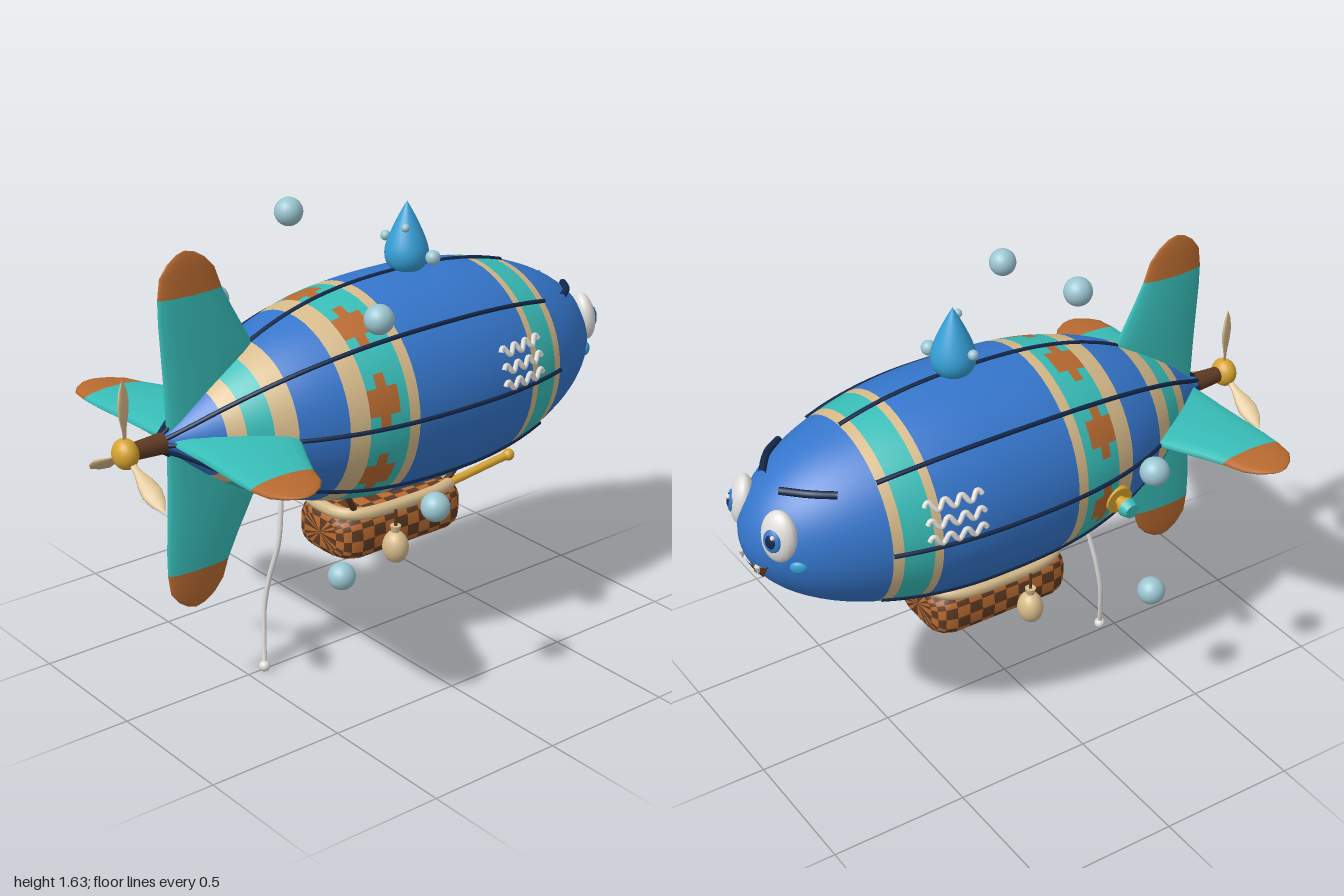
import * as THREE from 'three';
import { mergeGeometries } from 'three/addons/utils/BufferGeometryUtils.js';

const mat = (name, color) => new THREE.MeshStandardMaterial({ name, color });
const V = (x, y, z) => new THREE.Vector3(x, y, z);
const AXIS = 0.96;

// Hull radius along z: elliptical nose at -z, tapered tail at +z
function hullR(z) {
  const t = z < -0.2 ? (-0.2 - z) / 0.8 : (z + 0.2) / 1.03;
  return z < -0.2 ? 0.385 * Math.sqrt(Math.max(0, 1 - t * t)) : Math.max(0.03, 0.385 * (1 - Math.pow(t, 2.7)));
}
// Points lying on the hull
const hullTop = (x, z, off) => V(x, AXIS + Math.sqrt(hullR(z) ** 2 - x * x) + off, z);
const hullSide = (s, y, z, off) => V(s * (Math.sqrt(hullR(z) ** 2 - (y - AXIS) ** 2) + off), y, z);
const hullNose = (x, y, off) =>
  V(x, y, -0.2 - 0.8 * Math.sqrt(1 - (x * x + (y - AXIS) ** 2) / 0.385 ** 2) - off);

// Slice of the hull between two z values
function hullSlice(z0, z1, steps, phi = 0, len = Math.PI * 2, seg = 48) {
  const pts = [];
  for (let i = 0; i <= steps; i++) {
    const u = i / steps;
    const z = z0 === -1 ? z0 + (z1 - z0) * u * u : z0 + (z1 - z0) * u;
    pts.push(new THREE.Vector2(hullR(z), z));
  }
  return new THREE.LatheGeometry(pts, seg, phi, len).rotateX(Math.PI / 2).translate(0, AXIS, 0);
}

// Skin over closed rings of points; pick(ring, column) gives the material index
function loft(rings, pick) {
  const n = rings[0].length, buckets = [[], []];
  for (let j = 0; j < rings.length - 1; j++) for (let i = 0; i < n; i++) {
    const a = j * n + i, b = j * n + (i + 1) % n;
    buckets[pick(j, i)].push(a, b, a + n, b, b + n, a + n);
  }
  const g = new THREE.BufferGeometry().setFromPoints(rings.flat());
  g.setIndex(buckets.flat());
  g.addGroup(0, buckets[0].length, 0);
  g.addGroup(buckets[0].length, buckets[1].length, 1);
  g.computeVertexNormals();
  return g;
}

const tube = (pts, r, seg = 24, closed = false) =>
  new THREE.TubeGeometry(new THREE.CatmullRomCurve3(pts, closed), seg, r, 8, closed);
const ball = (r, w = 20, h = 14) => new THREE.SphereGeometry(r, w, h);

export function createModel() {
  const root = new THREE.Group();
  const blue = mat('hullBlue', 0x3576cc), teal = mat('teal', 0x38bdb8), tan = mat('tan', 0xd6ba8a);
  const orange = mat('rust', 0xb86a30), navy = mat('navy', 0x14284a), gold = mat('gold', 0xd6a32e);
  const aqua = mat('dropBlue', 0x359fd6), pale = mat('bubble', 0x9cc6d2), white = mat('white', 0xe0deda);
  const brown = mat('brown', 0x5e3a22);
  const add = (name, geo, m, parent = root, x = 0, y = 0, z = 0) => {
    const mesh = new THREE.Mesh(geo, m);
    mesh.name = name;
    mesh.position.set(x, y, z);
    parent.add(mesh);
    return mesh;
  };
  const group = (name, x = 0, y = 0, z = 0) => {
    const g = new THREE.Group();
    g.name = name;
    g.position.set(x, y, z);
    root.add(g);
    return g;
  };

  // Hull and painted bands
  const bands = [[-1, blue], [-0.635, tan], [-0.6, teal], [-0.5, tan], [-0.47, blue], [0.05, tan], [0.09, teal],
    [0.125, null], [0.235, tan], [0.305, blue], [0.465, tan], [0.535, teal], [0.61, tan], [0.662, blue], [0.84, null]];
  for (let i = 0; i < bands.length - 1; i++) {
    const [z, m] = bands[i], z1 = bands[i + 1][0];
    if (m) add('hullBand', hullSlice(z, z1, Math.max(3, Math.round((z1 - z) / 0.025))), m);
  }
  // Stepped cross pattern around the hull
  const motif = ['.OO...', 'OOOO..', '.OO...'], cells = { O: [], '.': [] }, w = Math.PI / 24;
  for (let r = 0; r < 3; r++) for (let c = 0; c < 48; c++) {
    const z = 0.125 + r * 0.11 / 3;
    cells[motif[r][c % 6]].push(hullSlice(z, z + 0.11 / 3, 2, c * w, w, 1));
  }
  add('patternRust', mergeGeometries(cells.O), orange);
  add('patternTeal', mergeGeometries(cells['.']), teal);
  // Seams
  for (let k = 0; k < 8; k++) {
    const pts = [], a = k * Math.PI / 4;
    for (let i = 0; i <= 20; i++) {
      const z = -0.635 + i * 0.0725, r = hullR(z) + 0.001;
      pts.push(V(r * Math.cos(a), AXIS + r * Math.sin(a), z));
    }
    add('seam', tube(pts, 0.008, 50), navy);
  }

  // Tail fins: [reach, leading z, trailing z, half thickness]
  const finRows = [[0.03, 0.5, 0.8, 0.03], [0.2, 0.42, 0.805, 0.03], [0.3, 0.475, 0.81, 0.028], [0.4, 0.53, 0.815, 0.025],
    [0.48, 0.57, 0.815, 0.021], [0.55, 0.595, 0.805, 0.016], [0.59, 0.63, 0.775, 0.011], [0.615, 0.67, 0.74, 0.006],
    [0.624, 0.705, 0.71, 0.001]];
  const finGeo = loft(finRows.map(([s, a, b, t]) => Array.from({ length: 16 }, (_, i) => {
    const q = i / 16 * Math.PI * 2;
    return V(t * Math.sin(q), s, (a + b) / 2 + (b - a) / 2 * Math.cos(q));
  })), j => (j < 4 ? 0 : 1));
  for (let k = 0; k < 4; k++) add('tailFin', finGeo, [teal, orange], root, 0, AXIS, 0).rotation.z = k * Math.PI / 2;

  // Propeller
  add('propellerShaft', new THREE.CylinderGeometry(0.028, 0.036, 0.13, 16).rotateX(Math.PI / 2), brown, root, 0, AXIS, 0.88);
  add('propellerHub', ball(0.052).scale(1, 1, 0.8), gold, root, 0, AXIS, 0.957);
  const bladeGeo = new THREE.LatheGeometry([[0.008, 0.03], [0.013, 0.08], [0.028, 0.13], [0.034, 0.17], [0.024, 0.215],
    [0, 0.255]].map(p => new THREE.Vector2(...p)), 14).scale(0.3, 1, 1).rotateY(0.5);
  for (let k = 0; k < 3; k++)
    add('propellerBlade', bladeGeo, tan, root, 0, AXIS, 0.957).rotation.z = k * Math.PI * 2 / 3;

  // Water drop and droplets on top
  const drop = [[0, 0], [0.045, 0.008], [0.07, 0.035], [0.077, 0.07], [0.068, 0.11], [0.045, 0.165], [0.02, 0.215], [0, 0.25]];
  add('waterDrop', new THREE.LatheGeometry(new THREE.SplineCurve(drop.map(p => new THREE.Vector2(...p)))
    .getPoints(20).map(p => p.setX(Math.max(0, p.x))), 24), aqua, root, 0, 1.33, -0.2);
  [[-0.09, 1.44, -0.18, 0.018], [0.065, 1.51, -0.14, 0.015], [0.097, 1.395, -0.235, 0.026]]
    .forEach(([x, y, z, r]) => add('droplet', ball(r), pale, root, x, y, z));
  // Floating bubbles
  [[-0.14, 1.583, 0.195], [0.465, 1.395, 0.3], [-0.61, 1.147, 0.175], [0.607, 0.77, 0.18], [-0.465, 0.53, 0.3],
    [0.138, 0.342, 0.195]].forEach(p => add('bubble', ball(0.049), pale, root, ...p));

  for (const s of [-1, 1]) {
    // Eye
    const eye = group('eye', s * 0.125, 1.04, -0.935);
    eye.lookAt(s * 0.125 + s * 0.4, 1.2, -1.85);
    add('eyeball', ball(0.09).scale(0.74, 1, 0.45), white, eye);
    add('iris', ball(0.04).scale(0.85, 1, 0.3), blue, eye, 0, -0.005, 0.035);
    add('pupil', ball(0.024).scale(0.85, 1, 0.3), navy, eye, 0, -0.005, 0.043);
    add('eyeGlint', ball(0.008), white, eye, 0.01, 0.014, 0.047);
    // Eyebrow and cheek
    add('eyebrow', tube([hullTop(s * 0.196, -0.755, 0.012), hullTop(s * 0.145, -0.825, 0.018),
      hullTop(s * 0.06, -0.89, 0.014)], 0.013, 16), navy);
    add('cheek', ball(0.03).scale(0.5, 0.8, 1), aqua, root, s * 0.18, 0.937, -0.9).rotation.y = s * 0.7;
    // Gill waves
    for (let k = 0; k < 3; k++) {
      const pts = [];
      for (let i = 0; i <= 24; i++)
        pts.push(hullSide(s, 1.105 - k * 0.057 + 0.015 * Math.sin(i / 24 * Math.PI * 7), -0.32 - i * 0.2 / 24, 0.005));
      add('gillWave', tube(pts, 0.009, 60), white);
    }
    // Sandbag
    const bag = group('sandbag', s * 0.18, 0.41, -0.01);
    add('bag', ball(0.05).scale(1, 1.2, 0.9), tan, bag);
    add('bagNeck', new THREE.CylinderGeometry(0.02, 0.014, 0.025, 12), tan, bag, 0, 0.068, 0);
    add('bagRope', new THREE.CylinderGeometry(0.006, 0.006, 0.08, 8), brown, bag, 0, 0.1, 0);
    // Gondola struts
    for (const [z0, z1] of [[0.1, 0.18], [-0.28, -0.35]])
      add('strut', tube([V(s * 0.105, 0.53, z0), V(s * 0.145, 0.65, z1)], 0.012, 2), brown);
    // Tooth
    add('tooth', new THREE.ConeGeometry(0.014, 0.035, 10).rotateX(Math.PI), white, root,
      ...hullNose(s * 0.055, 0.883, 0.008).toArray());
  }

  // Smile laid on the nose between an upper and a lower curve
  function smile(name, m, half, top, bottom, off) {
    const g = new THREE.PlaneGeometry(2, 1, 16, 6), p = g.attributes.position;
    for (let i = 0; i < p.count; i++) {
      const u = p.getX(i), v = p.getY(i) + 0.5;
      const q = hullNose(-u * half, THREE.MathUtils.lerp(bottom + (0.92 - bottom) * u * u, top + (0.92 - top) * u * u, v), off);
      p.setXYZ(i, q.x, q.y, q.z);
    }
    g.computeVertexNormals();
    add(name, g, m);
  }
  smile('mouth', brown, 0.105, 0.89, 0.825, 0.006);
  smile('tongue', orange, 0.06, 0.855, 0.832, 0.01);

  // Woven gondola
  const box = (a, hw, hh, e) => [hw * Math.sign(Math.cos(a)) * Math.abs(Math.cos(a)) ** e,
    hh * Math.sign(Math.sin(a)) * Math.abs(Math.sin(a)) ** e];
  const stations = [[-0.274, 0.001], [-0.272, 0.6], [-0.262, 0.8], [-0.24, 0.92]];
  const profile = [...stations, ...Array.from({ length: 9 }, (_, i) => [-0.2 + i * 0.05, 1]),
    ...stations.slice().reverse().map(([z, k]) => [-z, k])];
  add('gondola', loft(profile.map(([z, k]) => Array.from({ length: 24 }, (_, i) => {
    const [x, y] = box(i / 24 * Math.PI * 2, 0.152 * k, 0.092 * k, 0.55);
    return V(x, 0.456 + y, z - 0.09);
  })), (j, i) => (i + j) % 2), [brown, orange]);
  add('gondolaRim', tube(Array.from({ length: 32 }, (_, i) => {
    const [x, z] = box(i / 32 * Math.PI * 2, 0.152, 0.258, 0.6);
    return V(x, 0.55, z - 0.09);
  }), 0.023, 80, true), tan);

  // Spyglass
  add('spyglass', tube([V(0.13, 0.555, -0.31), V(0.16, 0.603, -0.54)], 0.015, 2), gold);
  add('spyglassEnd', ball(0.022), gold, root, 0.162, 0.605, -0.55);

  // Side valve
  const valve = group('valve', -0.34, 0.868, 0.235);
  valve.rotation.z = Math.PI / 2 + 0.1;
  add('valveFlange', new THREE.CylinderGeometry(0.05, 0.05, 0.03, 20), gold, valve);
  add('valveStem', new THREE.CylinderGeometry(0.02, 0.02, 0.1, 14), gold, valve, 0, 0.03, 0);
  add('valveCollar', new THREE.CylinderGeometry(0.03, 0.03, 0.012, 16), gold, valve, 0, 0.045, 0);
  add('valveKnob', new THREE.CylinderGeometry(0.026, 0.036, 0.03, 16), teal, valve, 0, 0.07, 0);

  // Mooring rope
  add('mooringRope', tube([V(0.01, 0.66, 0.353), V(0.018, 0.48, 0.375), V(-0.012, 0.34, 0.395), V(-0.022, 0.22, 0.412),
    V(-0.005, 0.11, 0.428), V(0.013, 0.026, 0.44)], 0.009, 40), white);
  add('ropeRing', ball(0.018), navy, root, 0.01, 0.66, 0.353);
  add('ropeEnd', ball(0.02), white, root, 0.013, 0.021, 0.44);
  return root;
}
